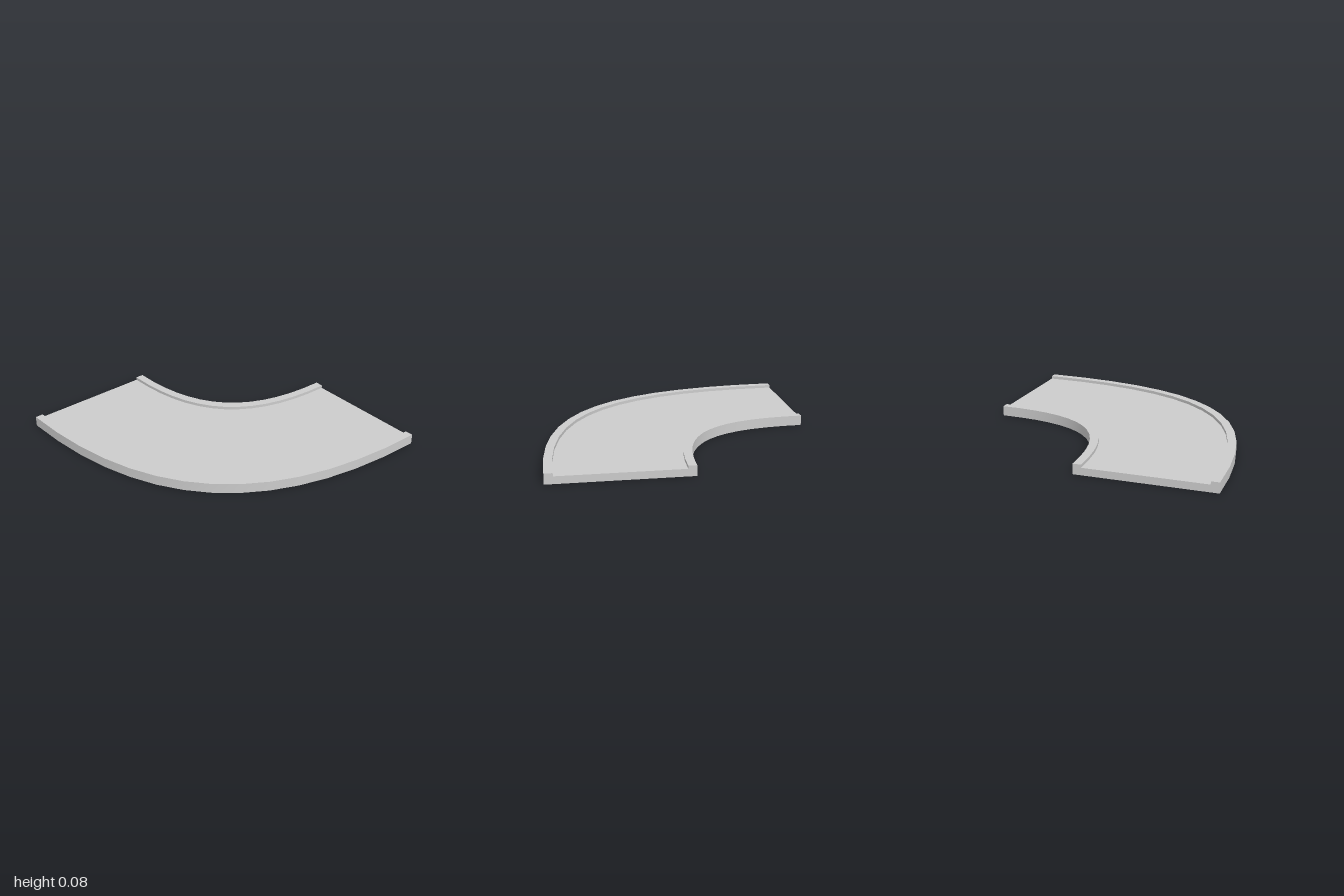
import * as THREE from 'three';

const STEPS = 14;
const RIM_TOP = 0.075, DECK_TOP = 0.053;
// Distances of the rim edges from the bend's corner at (1, -1)
const INNER = [1, 1.06], OUTER = [1.94, 2];

// Unit quarter bend, slightly fuller than a circle; scaled about the corner
const bend = new THREE.CubicBezierCurve(
  new THREE.Vector2(-1, 0), new THREE.Vector2(-1, 0.7),
  new THREE.Vector2(-0.7, 1), new THREE.Vector2(0, 1));
const path = bend.getPoints(STEPS);

// Sweeps a profile of [distance, height] along the bend, keeping its corners
// sharp, and closes both ends with a rectangle [from, to, height]
function sweep(name, lines, [from, to, height]) {
  const positions = [], index = [];
  const add = (p, [s, y]) => positions.push(1 + p.x * s, y, -1 + p.y * s);

  for (const line of lines) {
    for (let e = 0; e < line.length - 1; e++) {
      const base = positions.length / 3;
      path.forEach((p, i) => {
        add(p, line[e]);
        add(p, line[e + 1]);
        if (i === STEPS) return;
        const a = base + i * 2;
        index.push(a, a + 1, a + 2, a + 1, a + 3, a + 2);
      });
    }
  }

  // End caps
  const corners = [[from, 0], [to, 0], [to, height], [from, height]];
  for (const [p, ring] of [[path[0], corners], [path[STEPS], [...corners].reverse()]]) {
    const b = positions.length / 3;
    ring.forEach((c) => add(p, c));
    index.push(b, b + 1, b + 2, b, b + 2, b + 3);
  }

  const geometry = new THREE.BufferGeometry();
  geometry.setAttribute('position', new THREE.Float32BufferAttribute(positions, 3));
  geometry.setIndex(index);
  geometry.computeVertexNormals();
  const mesh = new THREE.Mesh(geometry, new THREE.MeshStandardMaterial({ color: 0xcccccc }));
  mesh.name = name;
  return mesh;
}

export function createModel() {
  const group = new THREE.Group();
  group.name = 'curvedRoad';
  const [i0, i1] = INNER, [o0, o1] = OUTER;

  // Road surface and its underside
  group.add(sweep('roadDeck', [
    [[i1, DECK_TOP], [o0, DECK_TOP]],
    [[o0, 0], [i1, 0]],
  ], [i1, o0, DECK_TOP]));

  // Raised kerbs on both sides
  group.add(sweep('innerKerb', [
    [[i1, 0], [i0, 0], [i0, RIM_TOP], [i1, RIM_TOP], [i1, DECK_TOP]],
  ], [i0, i1, RIM_TOP]));
  group.add(sweep('outerKerb', [
    [[o0, DECK_TOP], [o0, RIM_TOP], [o1, RIM_TOP], [o1, 0], [o0, 0]],
  ], [o0, o1, RIM_TOP]));

  return group;
}
